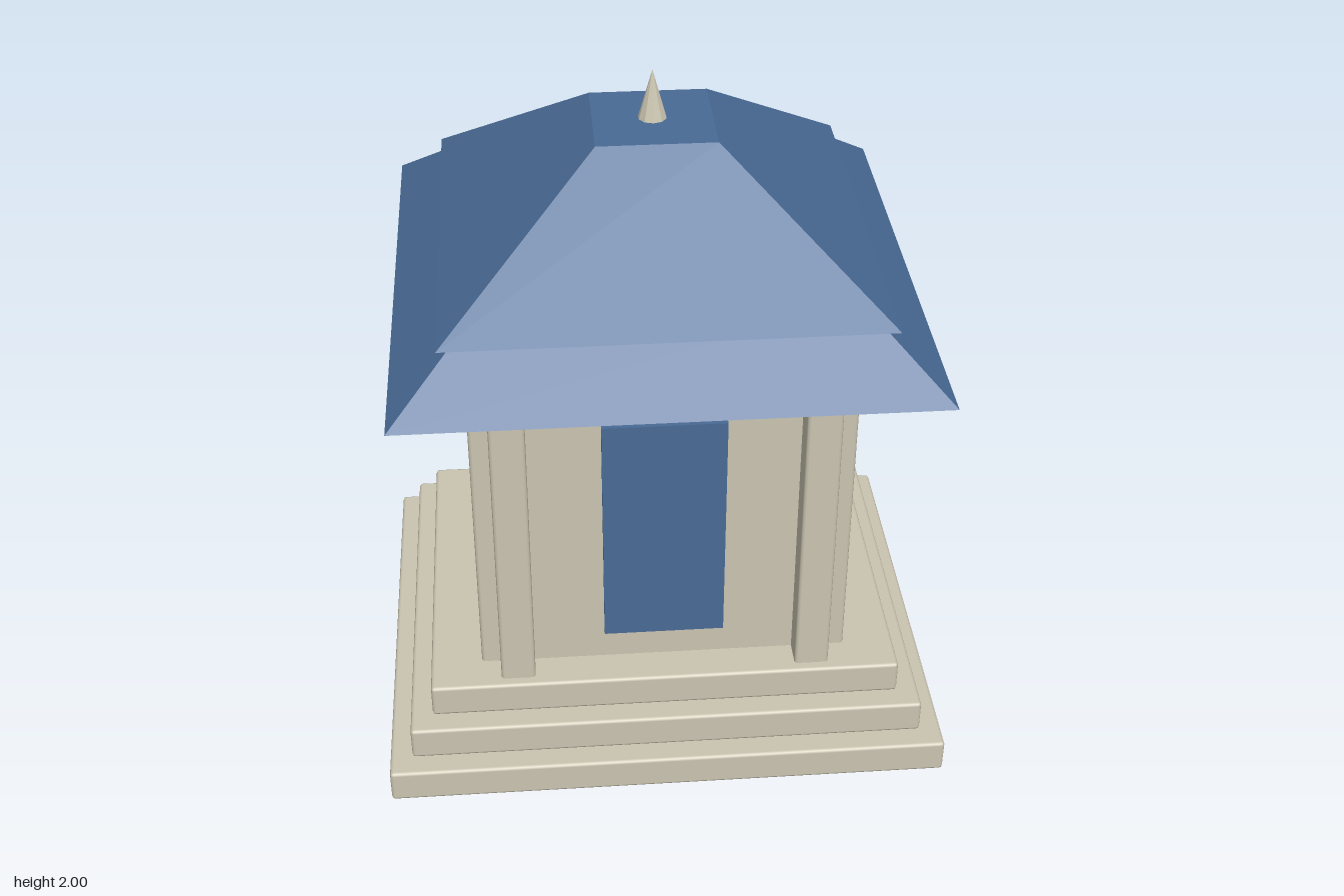
import * as THREE from 'three';
import { RoundedBoxGeometry } from 'three/addons/geometries/RoundedBoxGeometry.js';

export function createModel() {
  const model = new THREE.Group();
  model.name = 'pavilion';
  const stone = new THREE.MeshStandardMaterial({ name: 'stone', color: 0xcac4b0 });
  const blue = new THREE.MeshStandardMaterial({ name: 'blue', color: 0x496a95 });

  const add = (name, geometry, material, x, y, z) => {
    const mesh = new THREE.Mesh(geometry, material);
    mesh.name = name;
    mesh.position.set(x, y, z);
    model.add(mesh);
    return mesh;
  };

  // Block with narrow bevelled edges, given by its bottom and top heights
  const block = (name, w, d, y0, y1, x = 0, z = 0) =>
    add(name, new RoundedBoxGeometry(w, y1 - y0, d, 1, 0.01), stone, x, (y0 + y1) / 2, z);

  // Square frustum with sides parallel to the axes
  const frustum = (name, r0, r1, y0, y1) => {
    const g = new THREE.CylinderGeometry(r1 * Math.SQRT2, r0 * Math.SQRT2, y1 - y0, 4)
      .rotateY(Math.PI / 4).toNonIndexed();
    g.computeVertexNormals();
    add(name, g, blue, 0, (y0 + y1) / 2, 0);
  };

  // Stepped base
  for (let i = 0; i < 3; i++) {
    block('step' + (i + 1), 1.64 - 0.13 * i, 1.34 - 0.13 * i, 0.103 * i, 0.103 * (i + 1));
  }

  // Walls and the pillars flanking the entrance
  block('walls', 1.08, 0.86, 0.3, 1.38);
  for (const side of [-1, 1]) {
    block(side > 0 ? 'leftPillar' : 'rightPillar', 0.1, 0.12, 0.3, 1.38, side * 0.433, 0.45);
  }

  // Door panel
  add('door', new THREE.BoxGeometry(0.35, 0.74, 0.03), blue, 0, 0.775, 0.43);

  // Two-tier hipped roof with a flat top
  frustum('lowerRoof', 0.735, 0.503, 1.36, 1.56);
  frustum('upperRoof', 0.6, 0.165, 1.515, 1.86);

  // Spire
  const spire = new THREE.ConeGeometry(0.04, 0.14, 10).toNonIndexed();
  spire.computeVertexNormals();
  add('spire', spire, stone, 0, 1.93, 0);

  return model;
}
